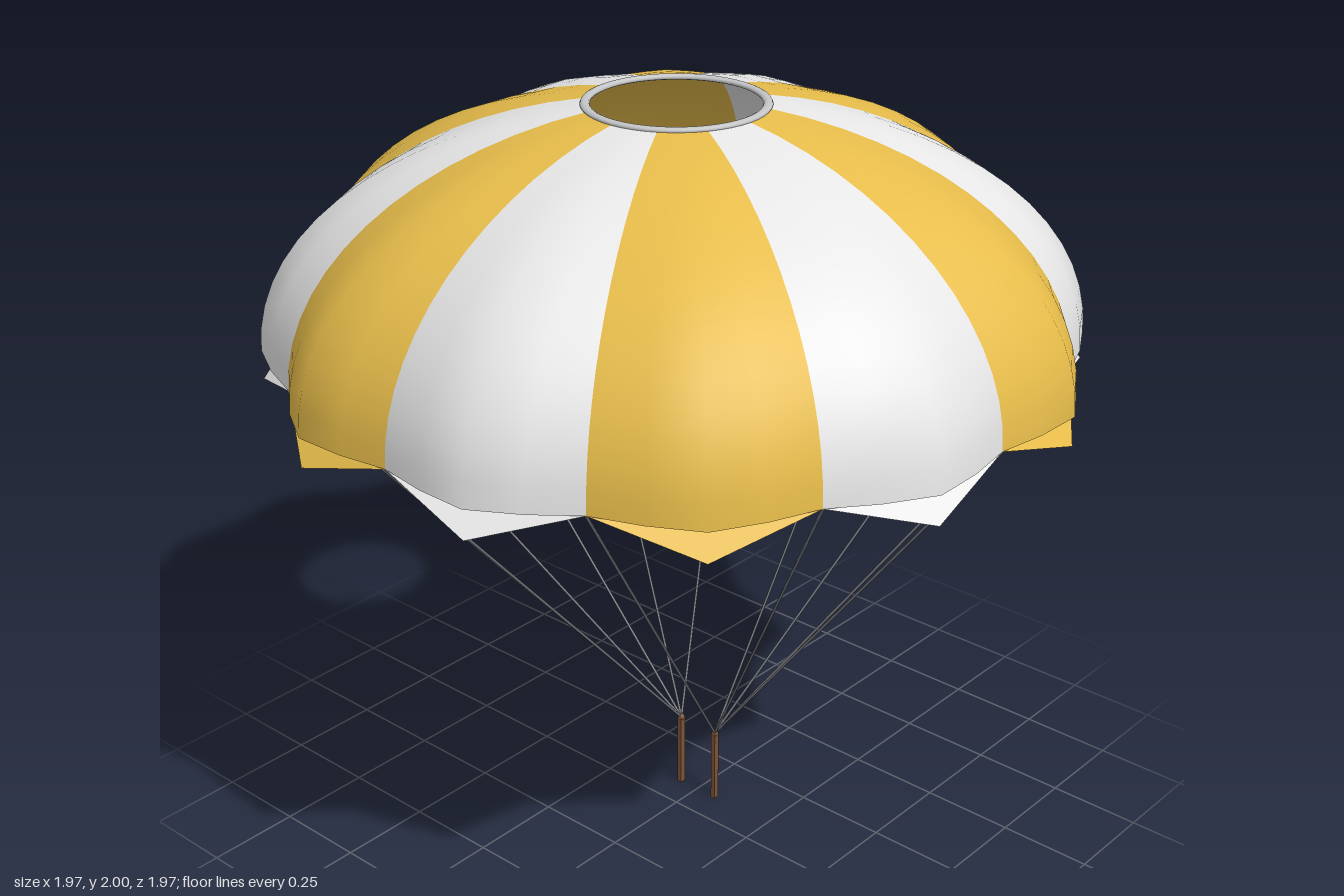
import * as THREE from 'three';

const GORES = 12, RIM_Y = 1.385, RIM_R = 0.965, TOP_R = 0.222, BULGE = 0.057;
const STEP = (Math.PI * 2) / GORES;
// Bulge across one gore, from seam to seam
const ACROSS = [0, 0.5, 1, 0.5, 0];
const ROWS = 14;

const mat = (name, color, side = THREE.FrontSide) => {
  const m = new THREE.MeshStandardMaterial({ color, side });
  m.name = name;
  return m;
};

// Point at an angle around the vertical axis, measured from the front
const polar = (angle, r, y) => new THREE.Vector3(Math.sin(angle) * r, y, Math.cos(angle) * r);

// Point on the canopy: gore k, column j, s = 0 at the rim to 1 at the vent
function canopyPoint(k, j, s) {
  const phi = s * Math.acos(TOP_R / RIM_R);
  const r = RIM_R * Math.cos(phi) + BULGE * ACROSS[j] * (1 - s ** 3);
  return polar((k + j / (ACROSS.length - 1)) * STEP, r, RIM_Y + 0.623 * Math.sin(phi));
}

// Smooth sheet from rows of points, each row running left to right, bottom row first
function sheet(rows) {
  const n = rows[0].length, index = [];
  for (let i = 0; i < rows.length - 1; i++) {
    for (let j = 0; j < n - 1; j++) {
      const a = i * n + j, b = a + 1, c = b + n, d = a + n;
      index.push(a, b, c, a, c, d);
    }
  }
  const g = new THREE.BufferGeometry().setFromPoints(rows.flat());
  g.setIndex(index);
  g.computeVertexNormals();
  return g;
}

// Thin round cord between two points
function cordBetween(from, to, radius, material) {
  const dir = to.clone().sub(from);
  const mesh = new THREE.Mesh(new THREE.CylinderGeometry(radius, radius, dir.length(), 6), material);
  mesh.position.copy(from).add(to).multiplyScalar(0.5);
  mesh.quaternion.setFromUnitVectors(new THREE.Vector3(0, 1, 0), dir.normalize());
  return mesh;
}

export function createModel() {
  const model = new THREE.Group();
  model.name = 'parachute';
  const white = mat('white cloth', 0xe8e8e8, THREE.DoubleSide);
  const gold = mat('gold cloth', 0xe6bc4a, THREE.DoubleSide);
  const cord = mat('grey cord', 0x74777e);
  const metal = mat('vent ring grey', 0xc4c6c8);
  const strap = mat('brown strap', 0x7c5438);

  const canopy = new THREE.Group(), skirt = new THREE.Group();
  const lines = new THREE.Group(), risers = new THREE.Group();
  canopy.name = 'canopy';
  skirt.name = 'skirt';
  lines.name = 'suspensionLines';
  risers.name = 'risers';
  model.add(canopy, skirt, lines, risers);

  const riserTop = (side) => new THREE.Vector3(side * 0.061, 0.21, -0.09);

  for (let k = 0; k < GORES; k++) {
    const cloth = k % 2 ? gold : white;

    // Bulging gore
    const rows = [];
    for (let i = 0; i <= ROWS; i++) rows.push(ACROSS.map((_, j) => canopyPoint(k, j, i / ROWS)));
    const gore = new THREE.Mesh(sheet(rows), cloth);
    gore.name = 'gore';
    canopy.add(gore);

    // Flat pointed flap flaring out from seam to seam below the rim
    const seam = polar(k * STEP, RIM_R, RIM_Y);
    const nextSeam = polar((k + 1) * STEP, RIM_R, RIM_Y);
    const tip = polar((k + 0.5) * STEP, RIM_R + BULGE, 1.31);
    const flapGeometry = new THREE.BufferGeometry().setFromPoints([seam, tip, nextSeam]);
    flapGeometry.computeVertexNormals();
    const flap = new THREE.Mesh(flapGeometry, cloth);
    flap.name = 'flap';
    skirt.add(flap);

    // Line from the seam to its riser; the front centre goes right, the back centre left
    const side = k === 0 || k > GORES / 2 ? -1 : 1;
    const line = cordBetween(seam, riserTop(side), 0.0035, cord);
    line.name = 'suspensionLine';
    lines.add(line);
  }

  // Flattened ring around the vent
  const ring = new THREE.Mesh(new THREE.TorusGeometry(0.217, 0.012, 10, 48), metal);
  ring.name = 'ventRing';
  ring.rotation.x = Math.PI / 2;
  ring.scale.z = 0.6;
  ring.position.y = 1.9928;
  model.add(ring);

  // Risers with a small knot on top
  for (const side of [-1, 1]) {
    const top = riserTop(side);
    const riser = new THREE.Mesh(new THREE.BoxGeometry(0.013, top.y, 0.016), strap);
    riser.name = 'riser';
    riser.position.copy(top).setY(top.y / 2);
    const knot = new THREE.Mesh(new THREE.SphereGeometry(0.01, 10, 8), strap);
    knot.name = 'knot';
    knot.position.copy(top);
    risers.add(riser, knot);
  }
  return model;
}
